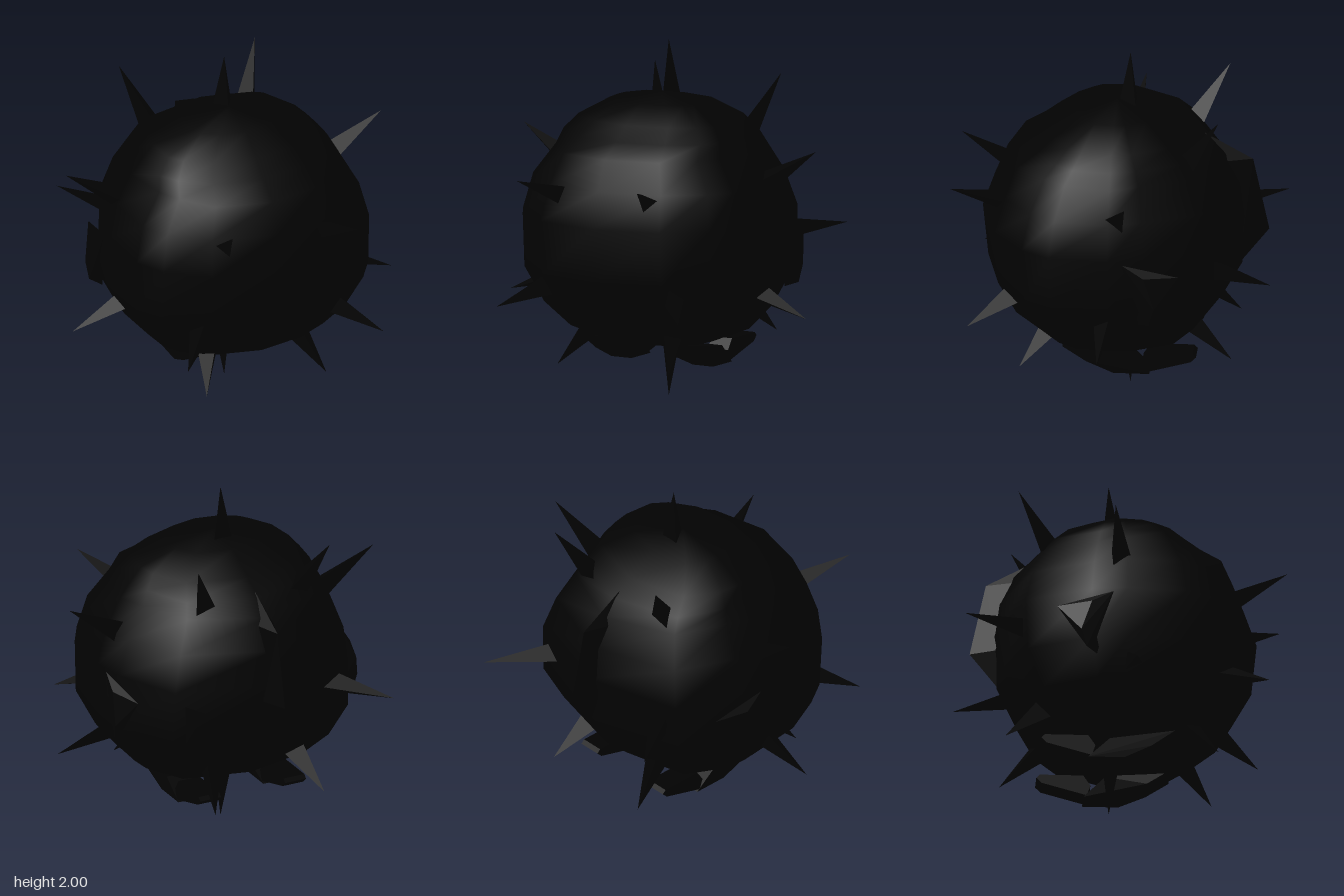
import * as THREE from 'three';
import { mergeVertices } from 'three/addons/utils/BufferGeometryUtils.js';
import { ConvexGeometry } from 'three/addons/geometries/ConvexGeometry.js';

const black = new THREE.MeshStandardMaterial({ color: 0x020202 });
black.name = 'matte black';

function add(parent, name, geometry) {
  const mesh = new THREE.Mesh(geometry, black);
  mesh.name = name;
  parent.add(mesh);
  return mesh;
}

function hull(points) {
  return new ConvexGeometry(points.map((p) => new THREE.Vector3(...p)));
}

// Rounded body lofted through horizontal rings
function bodyGeometry() {
  // height, half width, front reach, back reach, fullness of the front and back diagonals
  const rows = [
    [1.72, 0, 0, 0, 1, 1], [1.68, 0.28, 0.24, 0.22, 1, 1], [1.58, 0.46, 0.38, 0.4, 1, 0.98],
    [1.5, 0.53, 0.48, 0.52, 1, 0.95], [1.42, 0.59, 0.61, 0.61, 0.94, 0.91], [1.25, 0.68, 0.68, 0.69, 1, 0.94],
    [1.05, 0.73, 0.75, 0.72, 1, 0.98], [0.75, 0.73, 0.72, 0.69, 1, 1], [0.55, 0.63, 0.61, 0.58, 1, 1],
    [0.41, 0.5, 0.45, 0.43, 1, 1], [0.34, 0.32, 0.29, 0.2, 1, 1], [0.31, 0, 0, 0, 1, 1],
  ];
  // half of the ring outline, from front to back, as fractions
  const half = [[0, 1], [0.53, 0.88], [0.83, 0.65], [0.96, 0.44], [1, 0], [0.98, -0.28], [0.75, -0.79], [0, -1]];
  const ring = [...half, ...half.slice(1, -1).reverse().map(([x, z]) => [-x, z])];
  const n = ring.length, positions = [], index = [];
  rows.forEach(([y, w, front, back, fullFront, fullBack], i) => ring.forEach(([x, z], j) => {
    let k = 1;
    if (z < 0 && x !== 0) k = fullBack;
    if (z > 0 && Math.abs(x) > 0.6) k = fullFront;
    positions.push(x * w * k, y, z * k * (z > 0 ? front : back));
    if (i === rows.length - 1) return;
    const a = i * n + j, b = i * n + (j + 1) % n;
    if (i > 0) index.push(a, a + n, b);
    if (i === 0) index.push(a, a + n, b + n);
    else if (i < rows.length - 2) index.push(b, a + n, b + n);
  }));
  const geometry = new THREE.BufferGeometry();
  geometry.setAttribute('position', new THREE.Float32BufferAttribute(positions, 3));
  geometry.setIndex(index);
  const merged = mergeVertices(geometry);
  merged.computeVertexNormals();
  return merged;
}

// Three-sided spike from a base point to a tip
function addSpike(parent, name, base, tip) {
  const from = new THREE.Vector3(...base), to = new THREE.Vector3(...tip);
  const direction = to.clone().sub(from);
  const length = direction.length() + 0.06;
  direction.normalize();
  const geometry = new THREE.ConeGeometry(0.075, length, 3).toNonIndexed();
  geometry.computeVertexNormals();
  const spike = add(parent, name, geometry);
  spike.position.copy(to).addScaledVector(direction, -length / 2);
  spike.quaternion.setFromUnitVectors(new THREE.Vector3(0, 1, 0), direction);
}

export function createModel() {
  const model = new THREE.Group();
  model.name = 'spikyBall';
  add(model, 'body', bodyGeometry());

  // Spikes on the centre line
  addSpike(model, 'topSpike', [0, 1.7, -0.07], [0, 2, -0.07]);
  addSpike(model, 'bottomSpike', [0, 0.32, -0.07], [0, 0, -0.07]);

  // Narrow upright ridge down the back
  add(model, 'tailRidge', hull([[0, 1.53, -0.48], [0, 1.38, -0.75], [0, 0.96, -0.84], [0, 0.74, -0.67],
    [0.05, 1.38, -0.6], [-0.05, 1.38, -0.6], [0.06, 0.96, -0.7], [-0.06, 0.96, -0.7]]));

  // Mirrored spikes: base, tip
  const spikes = {
    UpperSide: [[0.67, 1.28, -0.05], [0.95, 1.45, -0.08]],
    LowerSide: [[0.64, 0.64, 0.02], [0.96, 0.53, 0.04]],
    UpperFront: [[0.28, 1.2, 0.6], [0.39, 1.31, 0.9]],
    LowerFront: [[0.42, 0.67, 0.57], [0.59, 0.57, 0.79]],
    BottomFront: [[0.28, 0.4, 0.37], [0.36, 0.23, 0.52]],
    UpperBack: [[0.3, 1.49, -0.43], [0.41, 1.77, -0.59]],
    MiddleBack: [[0.45, 0.91, -0.59], [0.65, 0.91, -0.9]],
    BottomBack: [[0.27, 0.48, -0.47], [0.34, 0.31, -0.66]],
  };
  // Thin side fin standing off the body at its rear edge
  const fin = [[0.72, 1.03, -0.08], [0.74, 0.96, -0.2], [0.68, 0.95, -0.39], [0.755, 0.78, -0.26],
    [0.745, 0.68, -0.23], [0.69, 0.66, -0.17], [0.69, 0.85, -0.2]];
  // Foot: a tapered ankle under the body, and a flat plate trailing behind it
  const ankle = [];
  for (const [y, z, inner, outer] of [[0.36, 0.28, 0.17, 0.35], [0.31, -0.08, 0.17, 0.34],
    [0.27, 0.15, 0.16, 0.34], [0.2, 0, 0.2, 0.33], [0.2, -0.2, 0.2, 0.33]]) {
    ankle.push([inner, y, z], [outer, y, z]);
  }
  const plate = [];
  for (const [y, z] of [[0.33, -0.2], [0.27, -0.16], [0.21, -0.18], [0.28, -0.43], [0.31, -0.46], [0.33, -0.44]]) {
    plate.push([0.2, y, z], [0.33, y, z]);
  }

  for (const [side, s] of [['left', 1], ['right', -1]]) {
    const flip = ([x, y, z]) => [s * x, y, z];
    for (const [name, [base, tip]] of Object.entries(spikes)) {
      addSpike(model, side + name + 'Spike', flip(base), flip(tip));
    }
    add(model, side + 'Fin', hull(fin.map(flip)));
    add(model, side + 'Ankle', hull(ankle.map(flip)));
    add(model, side + 'FootPlate', hull(plate.map(flip)));
  }
  return model;
}
